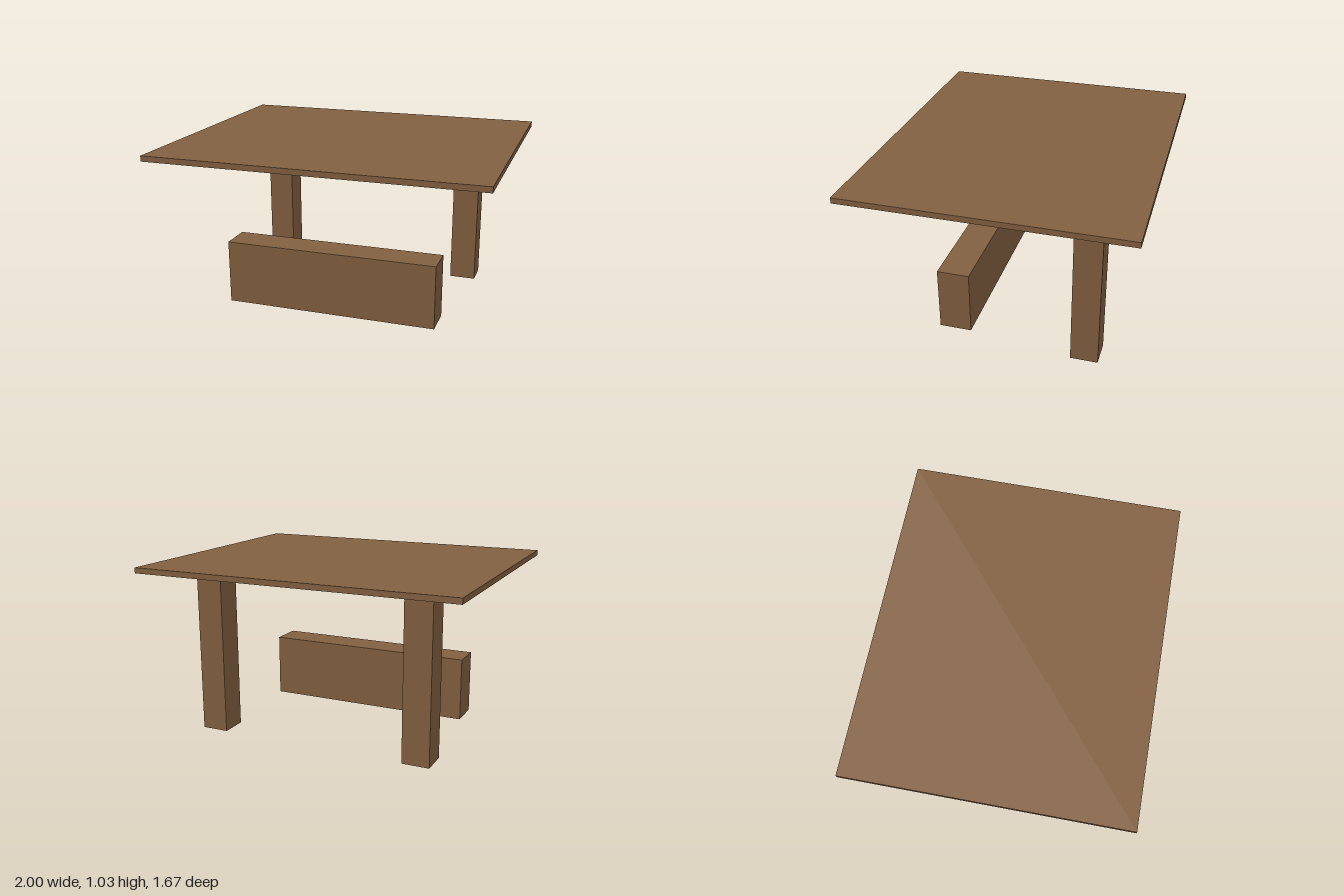
import * as THREE from 'three';

export function createModel() {
  const group = new THREE.Group();
  const wood = new THREE.MeshStandardMaterial({ color: 0x826040 });
  wood.name = 'brown wood';

  // Box given by its minimum and maximum corners
  function addBox(name, [x0, y0, z0], [x1, y1, z1]) {
    const mesh = new THREE.Mesh(new THREE.BoxGeometry(x1 - x0, y1 - y0, z1 - z0), wood);
    mesh.name = name;
    mesh.position.set((x0 + x1) / 2, (y0 + y1) / 2, (z0 + z1) / 2);
    group.add(mesh);
  }

  // Thin flat top
  addBox('tableTop', [-1, 1, -0.833], [1, 1.034, 0.833]);

  // Two rear posts
  addBox('rightPost', [-0.774, 0, -0.603], [-0.608, 1, -0.438]);
  addBox('leftPost', [0.559, 0, -0.603], [0.724, 1, -0.438]);

  // Low bench block at the front
  addBox('bench', [-0.695, 0, 0.208], [0.637, 0.4, 0.407]);

  return group;
}
